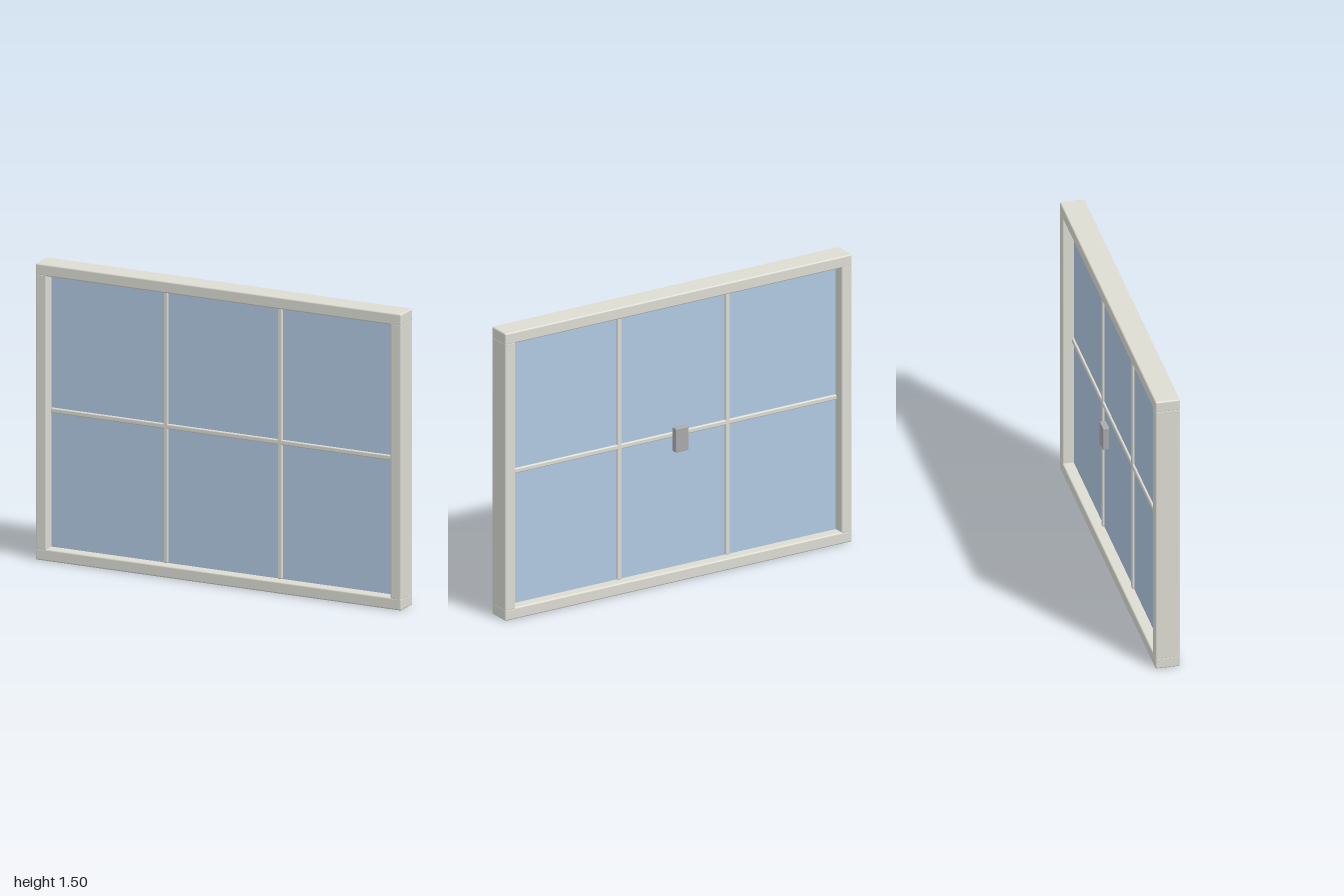
import * as THREE from 'three';
import { RoundedBoxGeometry } from 'three/addons/geometries/RoundedBoxGeometry.js';

const W = 2, H = 1.5, BAR = 0.06, DEPTH = 0.124, Z = 0.016;

const frameMat = new THREE.MeshStandardMaterial({ color: 0xdcdcd3 });
const glassMat = new THREE.MeshStandardMaterial({ color: 0xb0c8e2 });
const metalMat = new THREE.MeshStandardMaterial({ color: 0xa9a9ad });

export function createModel() {
  const root = new THREE.Group();
  root.name = 'window';

  const add = (name, geometry, material, x, y, z) => {
    const mesh = new THREE.Mesh(geometry, material);
    mesh.name = name;
    mesh.position.set(x, y, z);
    root.add(mesh);
  };
  const rounded = (w, h, d, r) => new RoundedBoxGeometry(w, h, d, 3, r);

  // Outer frame: full-width rails with stiles between them
  add('topRail', rounded(W, BAR, DEPTH, 0.008), frameMat, 0, H - BAR / 2, Z);
  add('bottomRail', rounded(W, BAR, DEPTH, 0.008), frameMat, 0, BAR / 2, Z);
  for (const [name, s] of [['leftStile', 1], ['rightStile', -1]]) {
    add(name, rounded(BAR, H - 2 * BAR + 0.016, DEPTH, 0.008), frameMat, s * (W - BAR) / 2, H / 2, Z);
  }

  // Glass pane in the middle of the frame depth
  add('glass', new THREE.BoxGeometry(W - 2 * BAR, H - 2 * BAR, 0.012), glassMat, 0, H / 2, Z);

  // Glazing bars dividing the pane into three by two
  for (const [name, s] of [['leftGlazingBar', 1], ['rightGlazingBar', -1]]) {
    add(name, rounded(0.025, H - 2 * BAR, 0.034, 0.006), frameMat, s * 0.312, H / 2, Z);
  }
  add('crossGlazingBar', rounded(W - 2 * BAR, 0.025, 0.034, 0.006), frameMat, 0, 0.752, Z);

  // Latch on the back
  add('latch', rounded(0.074, 0.124, 0.032, 0.004), metalMat, 0, 0.752, -0.062);

  return root;
}
